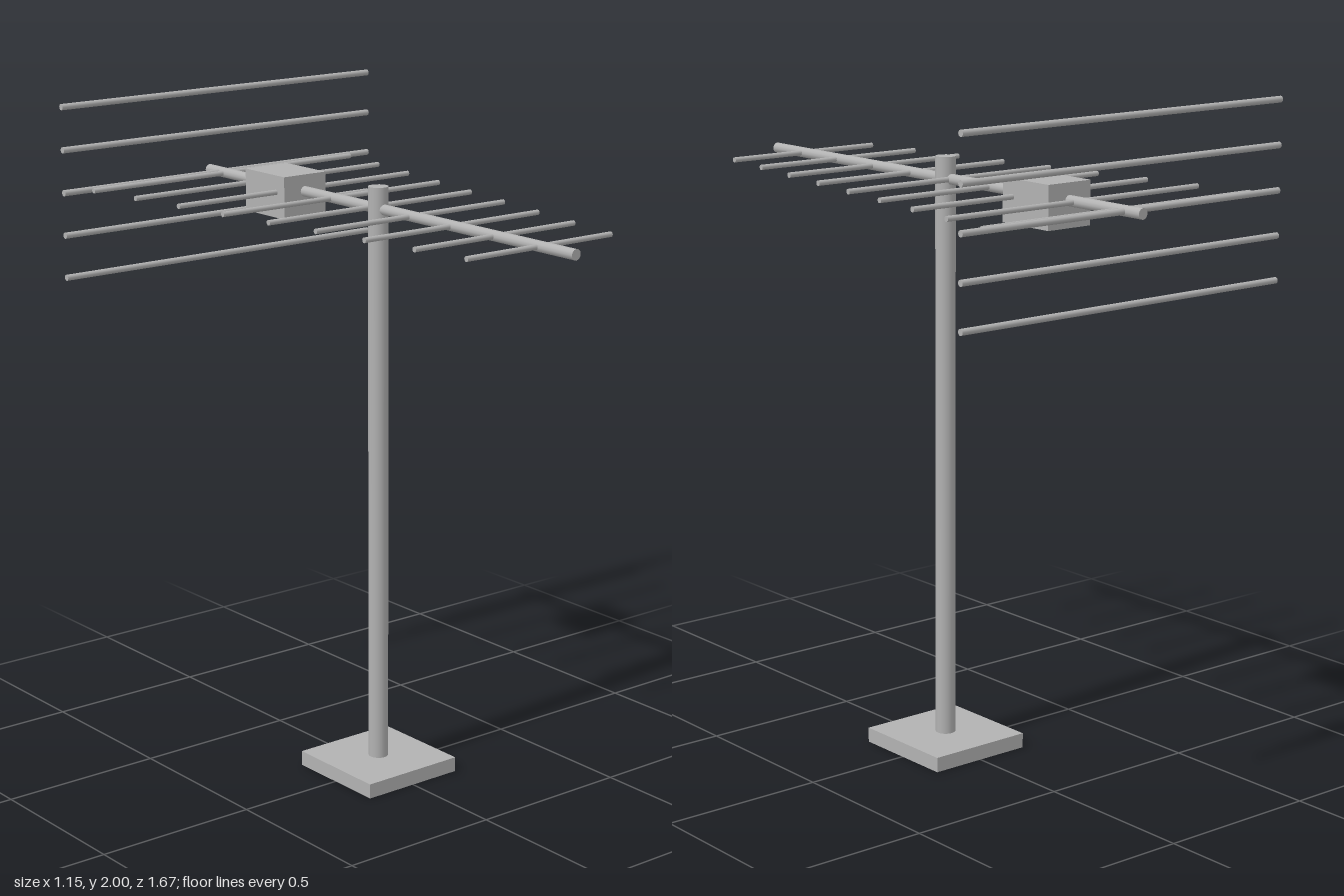
import * as THREE from 'three';

export function createModel() {
  const model = new THREE.Group();
  const metal = new THREE.MeshStandardMaterial({ color: 0xb2b2b2 });
  metal.name = 'grey metal';

  const BOOM_Y = 1.735;

  function add(name, geometry, x, y, z, parent = model) {
    const mesh = new THREE.Mesh(geometry, metal);
    mesh.name = name;
    mesh.position.set(x, y, z);
    parent.add(mesh);
    return mesh;
  }

  // Thin rod lying along x
  function rod(name, radius, halfLength, y, z, parent) {
    const geometry = new THREE.CylinderGeometry(radius, radius, halfLength * 2, 12);
    geometry.rotateZ(Math.PI / 2);
    return add(name, geometry, 0, y, z, parent);
  }

  // Base plate and mast
  add('basePlate', new THREE.BoxGeometry(0.333, 0.045, 0.333), 0, 0.0225, 0);
  add('mast', new THREE.CylinderGeometry(0.03, 0.03, 1.76, 16), 0, 0.92, 0);

  // Boom along z
  const boom = new THREE.CylinderGeometry(0.016, 0.016, 1.666, 12);
  boom.rotateX(Math.PI / 2);
  add('boom', boom, 0, BOOM_Y, 0);

  // Junction box around the boom
  add('junctionBox', new THREE.BoxGeometry(0.154, 0.127, 0.192), 0, 1.722, -0.443);

  // Directors, shortening towards the front
  const directors = new THREE.Group();
  directors.name = 'directors';
  model.add(directors);
  for (let i = 0; i < 9; i++) {
    rod(`director${i + 1}`, 0.008, 0.486 - i * 0.028, BOOM_Y, -0.747 + i * 0.1797, directors);
  }

  // Stacked reflector rods at the rear
  const reflectors = new THREE.Group();
  reflectors.name = 'reflectors';
  model.add(reflectors);
  for (let i = -2; i <= 2; i++) {
    rod(`reflector${i + 3}`, 0.0095, 0.576, BOOM_Y + i * 0.128, -0.77, reflectors);
  }

  return model;
}
